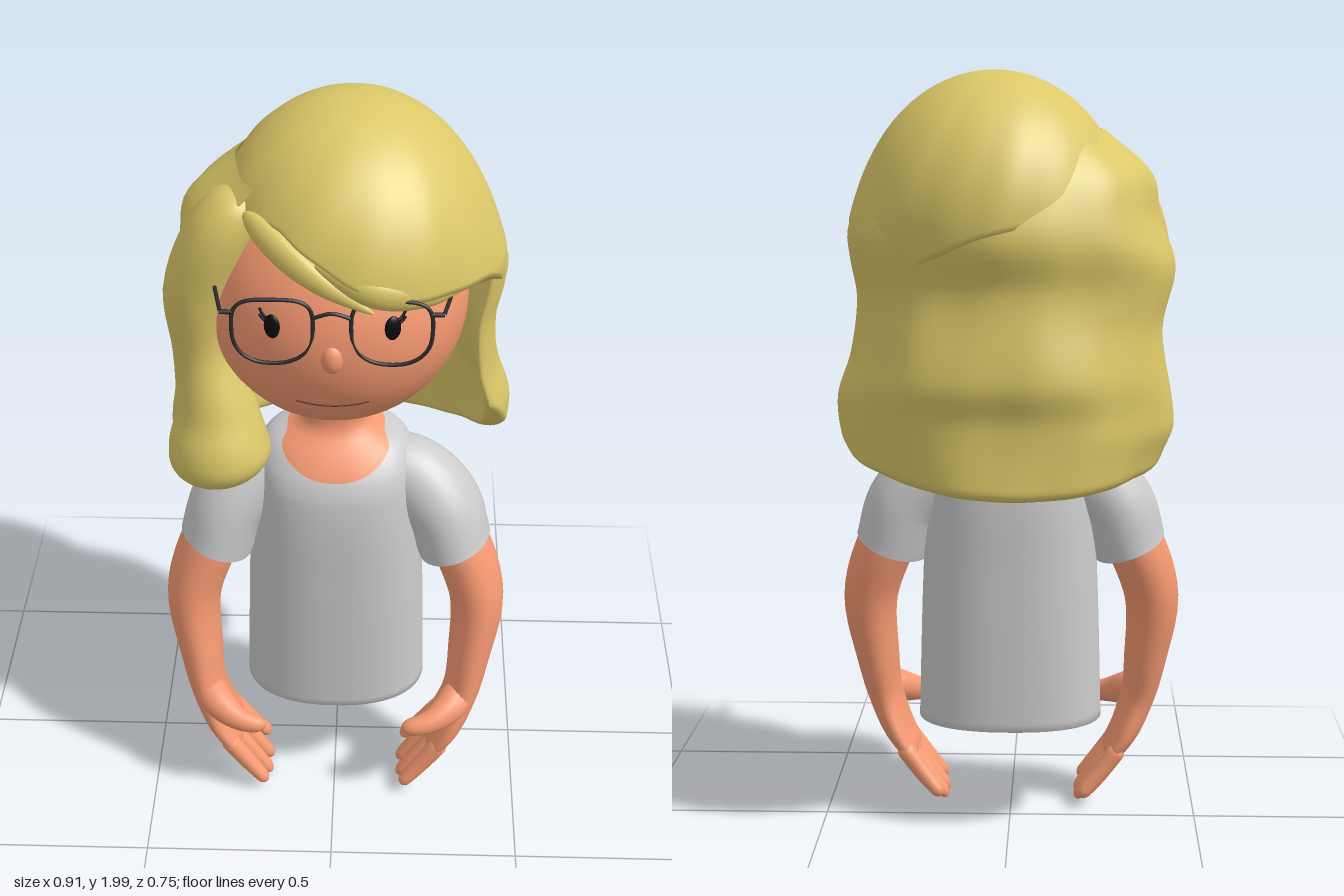
import * as THREE from 'three';
import { mergeVertices } from 'three/addons/utils/BufferGeometryUtils.js';

const V = (x, y, z) => new THREE.Vector3(x, y, z);
const mat = (color, side = THREE.FrontSide) => new THREE.MeshStandardMaterial({ color, side });
const RAD = Math.PI / 180;

// Smooth interpolation through [position, value] pairs
function keys(k) {
  const slope = i => {
    const a = k[Math.max(i - 1, 0)], b = k[Math.min(i + 1, k.length - 1)];
    return (b[1] - a[1]) / (b[0] - a[0]);
  };
  return x => {
    if (x <= k[0][0]) return k[0][1];
    if (x >= k[k.length - 1][0]) return k[k.length - 1][1];
    let i = 0;
    while (x > k[i + 1][0]) i++;
    const h = k[i + 1][0] - k[i][0], t = (x - k[i][0]) / h, s = 1 - t;
    return s * s * (1 + 2 * t) * k[i][1] + t * t * (3 - 2 * t) * k[i + 1][1]
      + h * t * s * (s * slope(i) - t * slope(i + 1));
  };
}
const even = a => keys(a.map((v, i) => [i / (a.length - 1), v]));

// Surface from loops: u runs round the section, v along the part
function surface(fn, nu, nv) {
  const pos = [], idx = [];
  for (let j = 0; j <= nv; j++) for (let i = 0; i <= nu; i++) {
    const p = fn((i % nu) / nu, j / nv);
    pos.push(p.x, p.y, p.z);
    if (i < nu && j < nv) {
      const a = j * (nu + 1) + i, c = a + nu + 1;
      idx.push(a, c, a + 1, a + 1, c, c + 1);
    }
  }
  let g = new THREE.BufferGeometry();
  g.setAttribute('position', new THREE.Float32BufferAttribute(pos, 3));
  g.setIndex(idx);
  g = mergeVertices(g, 1e-5);
  g.computeVertexNormals();
  return g;
}

// Organic tube with elliptical sections and rounded ends
function limb(points, across, deep, cap0 = 0, cap1 = 0, nu = 24, nv = 36) {
  const path = new THREE.CatmullRomCurve3(points.map(p => V(...p)));
  const ra = even(across), rd = even(deep);
  return surface((u, v) => {
    const t = (1 - Math.cos(Math.PI * v)) / 2;
    let s = 1;
    if (t < cap0) s *= Math.sqrt(Math.max(0, 1 - (1 - t / cap0) ** 2));
    if (t > 1 - cap1) s *= Math.sqrt(Math.max(0, 1 - ((t - 1 + cap1) / cap1) ** 2));
    const T = path.getTangent(t), B = V(0, 0, 1).addScaledVector(T, -T.z).normalize();
    const N = T.clone().cross(B), a = u * 2 * Math.PI;
    return path.getPoint(t).addScaledVector(N, ra(t) * s * Math.cos(a)).addScaledVector(B, rd(t) * s * Math.sin(a));
  }, nu, nv);
}

function mirrored(g) {
  const m = g.clone().scale(-1, 1, 1), ix = m.index.array;
  for (let i = 0; i < ix.length; i += 3) [ix[i], ix[i + 1]] = [ix[i + 1], ix[i]];
  m.computeVertexNormals();
  return m;
}

const tube = (pts, r, closed = false, n = 40) =>
  new THREE.TubeGeometry(new THREE.CatmullRomCurve3(pts, closed), n, r, 8, closed);

export function createModel() {
  const model = new THREE.Group();
  const skin = mat(0xf79a72), hair = mat(0xdcc869, THREE.DoubleSide), black = mat(0x0c0c0c), frame = mat(0x2c2c30);
  const cloth = mat(0xcccccc, THREE.DoubleSide), lining = mat(0xf79a72, THREE.DoubleSide);
  const add = (name, geo, m, parent = model) => {
    const mesh = new THREE.Mesh(geo, m);
    mesh.name = name;
    parent.add(mesh);
    return mesh;
  };
  const pair = (name, geo, m) => {
    add('left' + name, geo, m);
    add('right' + name, mirrored(geo), m);
  };

  // Torso and shirt share one profile
  const RX = keys([[0.29, 0.245], [0.7, 0.232], [0.95, 0.215], [1.03, 0.2], [1.07, 0.172], [1.1, 0.108], [1.14, 0.09], [1.18, 0.1], [1.21, 0.14], [1.25, 0.2]]);
  const RZ = keys([[0.29, 0.19], [0.7, 0.185], [0.95, 0.174], [1.04, 0.14], [1.08, 0.115], [1.1, 0.095], [1.14, 0.086], [1.18, 0.092], [1.21, 0.12], [1.25, 0.18]]);
  const CZ = keys([[0.29, 0.032], [1, 0.032], [1.09, 0.012], [1.25, 0.015]]);
  const soft = c => Math.sign(c) * Math.abs(c) ** 0.86;
  const bodyPoint = (a, y, s) => V(RX(y) * s * soft(Math.sin(a)), y, CZ(y) + RZ(y) * s * soft(Math.cos(a)));
  add('body', surface((u, v) => bodyPoint(u * 2 * Math.PI, 1.25 - v * 0.95, 0.95 + 0.03 * Math.max(0, 1 - v * 4)), 48, 60), lining);
  add('shirt', surface((u, v) => {
    const a = u * 2 * Math.PI, top = 1.09 - 0.08 * Math.max(0, Math.cos(a)) ** 3;
    const t = Math.min(1, v * 50 / 49);
    return bodyPoint(a, top + (0.288 - top) * t ** 1.3, v === 1 ? 0.95 : 1);
  }, 64, 50), cloth);

  // Sleeves, arms and hands
  pair('Sleeve', limb([[0.03, 0.985, 0.03], [0.18, 0.955, 0.033], [0.275, 0.87, 0.05], [0.318, 0.75, 0.065]],
    [0.06, 0.1, 0.105, 0.1], [0.07, 0.1, 0.124, 0.133], 0.1, 0, 32), cloth);
  pair('Arm', limb([[0.27, 0.88, 0.06], [0.335, 0.75, 0.075], [0.382, 0.6, 0.1], [0.368, 0.42, 0.13], [0.35, 0.31, 0.15], [0.315, 0.21, 0.157], [0.262, 0.125, 0.157]],
    [0.07, 0.078, 0.073, 0.058, 0.048, 0.04, 0.026], [0.09, 0.104, 0.1, 0.096, 0.092, 0.108, 0.106], 0.05, 0.08, 28, 48), skin);
  pair('Thumb', limb([[0.355, 0.325, 0.17], [0.32, 0.3, 0.225], [0.26, 0.278, 0.272], [0.185, 0.266, 0.288]],
    [0.04, 0.046, 0.032, 0.022], [0.045, 0.045, 0.032, 0.021], 0.15, 0.13, 14, 20), skin);
  [[0.235, 0.253, 0.03], [0.185, 0.191, 0.008], [0.13, 0.128, 0.008], [0.078, 0.06, 0.036]].forEach(([z0, z1, y], i) => {
    pair('Finger' + (i + 1), limb([[0.3, 0.175, z0], [0.238, 0.092, z0 * 0.55 + z1 * 0.45], [0.175 + y * 0.4, y, z1]],
      [0.026, 0.023, 0.017], [0.029, 0.024, 0.02], 0.1, 0.14, 14, 20), skin);
  });

  // Head and face
  const R = 0.33, onFace = (x, y, lift = 0) => V(x, y, 0.03 + Math.sqrt(R * R - x * x - (y - 1.5) ** 2) + lift);
  add('head', new THREE.SphereGeometry(R, 48, 36), skin).position.set(0, 1.5, 0.03);
  const nose = add('nose', new THREE.SphereGeometry(1, 24, 18), skin);
  nose.scale.set(0.028, 0.04, 0.026);
  nose.position.set(0, 1.49, 0.348);
  add('mouth', tube([-0.088, -0.045, 0, 0.045, 0.088].map(x => onFace(x, 1.338 + 1.1 * x * x, 0)), 0.003), mat(0x6b3325));
  for (const s of [-1, 1]) {
    const eye = add(s > 0 ? 'leftEye' : 'rightEye', new THREE.SphereGeometry(1, 20, 16), black);
    eye.scale.set(0.021, 0.032, 0.01);
    eye.position.copy(onFace(s * 0.142, 1.56));
    eye.rotation.y = s * 0.42;
    [0, 1].forEach(i => add('eyelash', tube([onFace(s * 0.148, 1.575 - i * 0.008, 0.003),
      onFace(s * 0.163, 1.584 - i * 0.01, 0.004), onFace(s * 0.172, 1.598 - i * 0.014, 0.006)], 0.0035, false, 10), black));
  }

  // Glasses
  const glasses = new THREE.Group();
  glasses.name = 'glasses';
  model.add(glasses);
  for (const s of [-1, 1]) {
    const rim = [];
    for (let i = 0; i < 24; i++) {
      const a = i / 24 * 2 * Math.PI, c = Math.cos(a), d = Math.sin(a), e = d > 0 ? 0.55 : 0.85;
      rim.push(V(s * (0.14 + 0.095 * Math.sign(c) * Math.abs(c) ** e * (1 + 0.04 * d)), 1.563 + 0.086 * Math.sign(d) * Math.abs(d) ** e, 0.35));
    }
    add('rim', tube(rim, 0.005, true, 72), frame, glasses);
    add('hinge', tube([V(s * 0.23, 1.615, 0.35), V(s * 0.262, 1.615, 0.35)], 0.006, false, 4), frame, glasses);
    add('temple', tube([V(s * 0.26, 1.615, 0.352), V(s * 0.282, 1.607, 0.23), V(s * 0.315, 1.6, 0.05)], 0.005, false, 16), frame, glasses);
  }
  add('bridge', tube([V(-0.047, 1.6, 0.35), V(0, 1.615, 0.352), V(0.047, 1.6, 0.35)], 0.005, false, 16), frame, glasses);

  // Crown of hair with a fringe swept to one side
  const edge = keys([[0, 1.695], [20, 1.65], [45, 1.627], [65, 1.61], [95, 1.5], [135, 1.5], [180, 1.6], [250, 1.67], [300, 1.77], [325, 1.795], [342, 1.755], [360, 1.695]]);
  add('hairCrown', surface((u, v) => {
    const a = u * 2 * Math.PI, t = Math.min(1, v / 0.9), under = Math.max(0, v - 0.9) / 0.1;
    const phi = t * Math.acos((edge(u * 360) - 1.62) / 0.38);
    const wave = 1 + 0.008 * t * Math.sin(7 * a + 5 * t) + 0.006 * t * Math.sin(14 * a + 7 * t);
    const r = Math.sin(phi) * wave * (1 - 0.45 * under), c = Math.cos(a), s = Math.sin(a);
    const bulge = 1 + 0.1 * Math.max(0, s) ** 2 * Math.min(1, 1 - Math.cos(phi)) ** 3;
    return V(0.04 + 0.342 * r * s * bulge, 1.62 + 0.38 * Math.cos(phi) - 0.012 * Math.sin(Math.PI * Math.min(1, under * 2)),
      (c > 0 ? 0.381 : 0.373) * r * c);
  }, 120, 50), hair);
  add('fringeStrand', limb([[-0.21, 1.8, 0.21], [-0.11, 1.74, 0.305], [-0.02, 1.685, 0.347], [0.1, 1.62, 0.362]],
    [0.03, 0.034, 0.026, 0.006], [0.02, 0.022, 0.018, 0.006], 0.2, 0.1), hair);
  add('fringeSweep', limb([[-0.04, 1.735, 0.34], [0.1, 1.668, 0.352], [0.22, 1.637, 0.3], [0.32, 1.61, 0.17]],
    [0.02, 0.036, 0.03, 0.015], [0.015, 0.022, 0.022, 0.02], 0.2, 0.1), hair);

  // Long wavy hair wrapping from one cheek round the back to the other
  const XL = keys([[0.94, 0.4], [1.02, 0.43], [1.16, 0.445], [1.28, 0.41], [1.42, 0.397], [1.52, 0.415], [1.6, 0.42], [1.72, 0.365], [1.85, 0.24]]);
  const XR = keys([[0.94, 0.37], [1.02, 0.4], [1.1, 0.428], [1.34, 0.4], [1.5, 0.432], [1.63, 0.385], [1.74, 0.36], [1.85, 0.24]]);
  const ZB = keys([[0.94, 0.362], [1.13, 0.355], [1.23, 0.378], [1.45, 0.338], [1.57, 0.368], [1.66, 0.352], [1.79, 0.28], [1.85, 0.22]]);
  const hem = keys([[70, 1.23], [90, 1.08], [115, 1.0], [180, 0.94], [250, 0.97], [310, 1.02]]);
  add('longHair', surface((u, v) => {
    const k = u * 2 * Math.PI, deg = 190 - 115 * Math.cos(k), a = deg * RAD;
    const t = (1 - Math.cos(Math.PI * v)) / 2, y = 1.85 + (hem(deg) - 1.85) * t;
    const close = t > 0.97 ? Math.sqrt(Math.max(0, 1 - ((t - 0.97) / 0.03) ** 2)) : 1;
    const thick = Math.max(-1, Math.min(1, 2.2 * Math.sin(k))) * close;
    const wave = 1 + 0.012 * Math.sin(7 * a + 7 * y) + 0.005 * Math.sin(16 * a - 6 * y);
    const r = (0.93 + 0.07 * thick) * wave;
    const c = Math.cos(a), s = Math.sin(a);
    return V((s > 0 ? XL(y) : XR(y)) * r * s, y, (c < 0 ? ZB(y) : 0.36) * r * c);
  }, 160, 60), hair);

  // Full curl hanging in front of the right shoulder
  add('frontLock', limb([[-0.2, 1.815, 0.1], [-0.27, 1.72, 0.13], [-0.33, 1.55, 0.125], [-0.33, 1.37, 0.11], [-0.3, 1.2, 0.13], [-0.295, 1.1, 0.145], [-0.285, 1.0, 0.15]],
    [0.05, 0.08, 0.088, 0.075, 0.105, 0.13, 0.125], [0.08, 0.1, 0.095, 0.09, 0.11, 0.135, 0.13], 0.1, 0.14, 32, 48), hair);
  return model;
}
